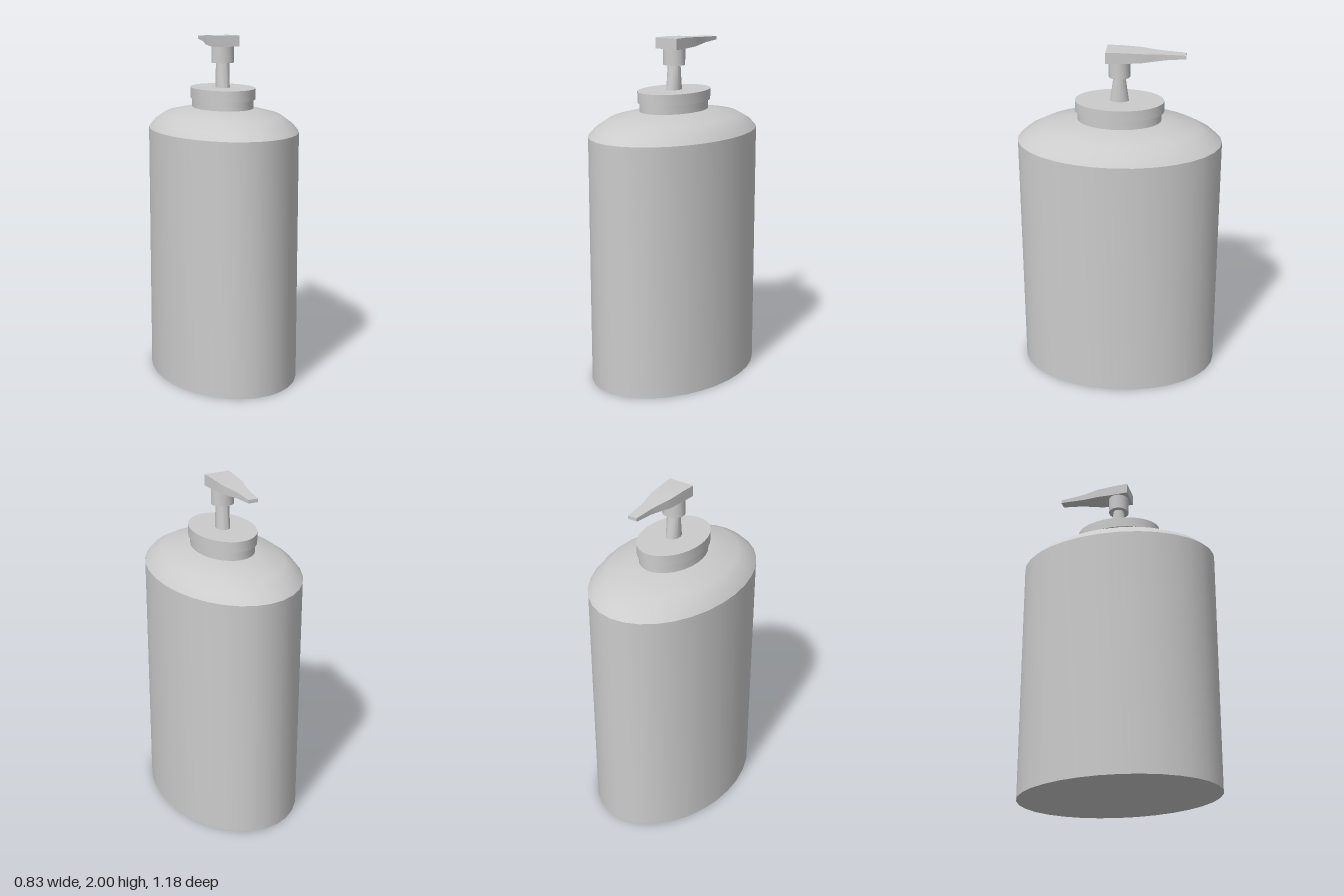
import * as THREE from 'three';
import { toCreasedNormals } from 'three/addons/utils/BufferGeometryUtils.js';

const material = new THREE.MeshStandardMaterial({ color: 0xcccccc });

function addMesh(group, name, geometry, crease = 0.5) {
  const mesh = new THREE.Mesh(toCreasedNormals(geometry, crease), material);
  mesh.name = name;
  group.add(mesh);
}

// Turned solid from [radius, y] pairs, squashed to an oval by sx and sz
function turned(profile, sx, sz, segments = 32) {
  const points = profile.map(([r, y]) => new THREE.Vector2(r, y));
  return new THREE.LatheGeometry(points, segments).scale(sx, 1, sz);
}

// Capped rectangular loft from [z, halfWidth, bottom, top] sections, front to back
function loftBox(sections) {
  const positions = [], index = [];
  for (const [z, w, bottom, top] of sections) {
    positions.push(-w, bottom, z, w, bottom, z, w, top, z, -w, top, z);
  }
  for (let s = 0; s < sections.length - 1; s++) {
    for (let i = 0; i < 4; i++) {
      const a = s * 4 + i, b = s * 4 + (i + 1) % 4;
      index.push(a, a + 4, b, b, a + 4, b + 4);
    }
  }
  const e = (sections.length - 1) * 4;
  index.push(0, 1, 2, 0, 2, 3, e, e + 2, e + 1, e, e + 3, e + 2);
  const geometry = new THREE.BufferGeometry();
  geometry.setAttribute('position', new THREE.Float32BufferAttribute(positions, 3));
  geometry.setIndex(index);
  return geometry;
}

export function createModel() {
  const model = new THREE.Group();
  model.name = 'soapDispenser';
  const oval = 1.417; // depth to width ratio of bottle and cap

  // Bottle with rounded shoulder
  addMesh(model, 'bottle', turned([
    [0, 0], [0.416, 0], [0.416, 1.46], [0.385, 1.5], [0.325, 1.545], [0.172, 1.585], [0, 1.585],
  ], 1, oval));

  // Neck and overhanging cap
  addMesh(model, 'neck', turned([[0.17, 1.58], [0.17, 1.64]], 1, oval));
  addMesh(model, 'cap', turned([[0, 1.637], [0.18, 1.637], [0.18, 1.7], [0, 1.7]], 1, oval));

  // Pump stem: constant width, flaring in depth towards the cap
  const stem = new THREE.CylinderGeometry(0.04, 0.04, 0.16, 32).translate(0, 1.77, 0);
  const p = stem.attributes.position;
  for (let i = 0; i < p.count; i++) {
    p.setZ(i, p.getZ(i) * (p.getY(i) < 1.77 ? 1.38 : 0.8));
  }
  addMesh(model, 'pumpStem', stem);

  // Sleeve under the pump head
  addMesh(model, 'pumpSleeve', turned(
    [[0, 1.843], [1, 1.843], [1, 1.94], [0, 1.94]], 0.066, 0.061));

  // Pump head narrowing into a spout towards the back
  addMesh(model, 'pumpHead', loftBox([
    [0.073, 0.077, 1.937, 2],
    [-0.01, 0.071, 1.937, 2],
    [-0.125, 0.064, 1.942, 1.995],
    [-0.16, 0.055, 1.945, 1.992],
    [-0.22, 0.042, 1.95, 1.988],
    [-0.26, 0.036, 1.954, 1.986],
    [-0.373, 0.028, 1.96, 1.98],
  ]));
  return model;
}
